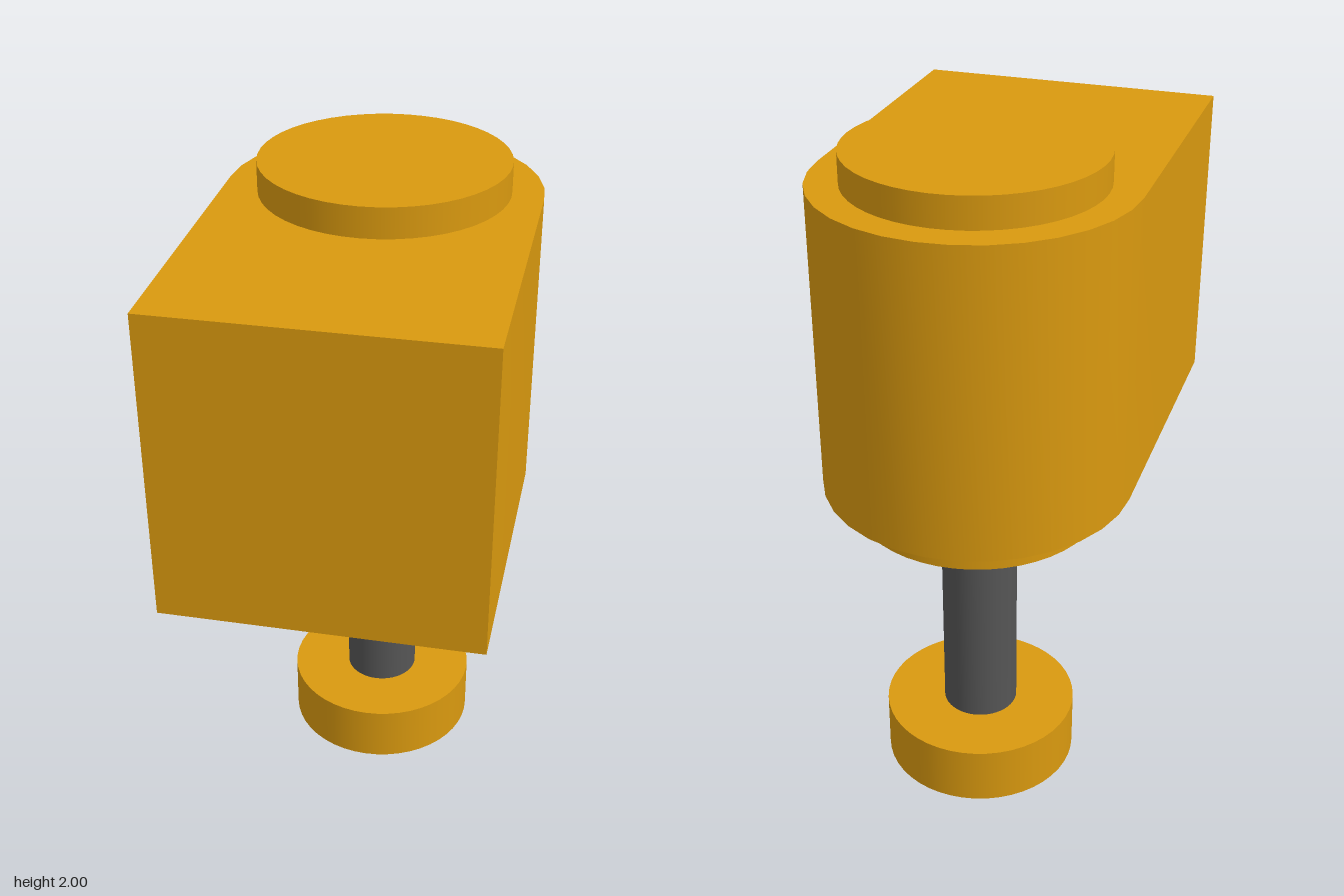
import * as THREE from 'three';
import { toCreasedNormals } from 'three/addons/utils/BufferGeometryUtils.js';

const AXIS_Z = -0.227; // shared vertical axis of all round parts

export function createModel() {
  const group = new THREE.Group();
  const amber = new THREE.MeshStandardMaterial({ color: 0xd9990f });
  const darkGrey = new THREE.MeshStandardMaterial({ color: 0x555555 });

  const add = (name, geometry, material) => {
    const mesh = new THREE.Mesh(geometry, material);
    mesh.name = name;
    group.add(mesh);
    return mesh;
  };

  const addDisc = (name, radius, bottom, top, material) => {
    const geometry = new THREE.CylinderGeometry(radius, radius, top - bottom, 48);
    add(name, geometry, material).position.set(0, (bottom + top) / 2, AXIS_Z);
  };

  // Housing: square at the front, half round at the back
  const r = 0.455;
  const outline = new THREE.Shape();
  outline.moveTo(-r, -0.682);
  outline.lineTo(r, -0.682);
  outline.lineTo(r, -AXIS_Z);
  outline.absarc(0, -AXIS_Z, r, 0, Math.PI, false);
  outline.closePath();
  const housing = new THREE.ExtrudeGeometry(outline, {
    depth: 0.91, bevelEnabled: false, curveSegments: 8,
  });
  housing.rotateX(-Math.PI / 2);
  housing.translate(0, 1, 0);
  add('housing', toCreasedNormals(housing, 0.5), amber);

  // Collars above and below the housing
  addDisc('topCap', 0.363, 1.91, 2, amber);
  addDisc('lowerCollar', 0.363, 0.91, 1, amber);

  // Rod and foot
  addDisc('rod', 0.114, 0.18, 0.91, darkGrey);
  addDisc('foot', 0.295, 0, 0.182, amber);

  return group;
}
